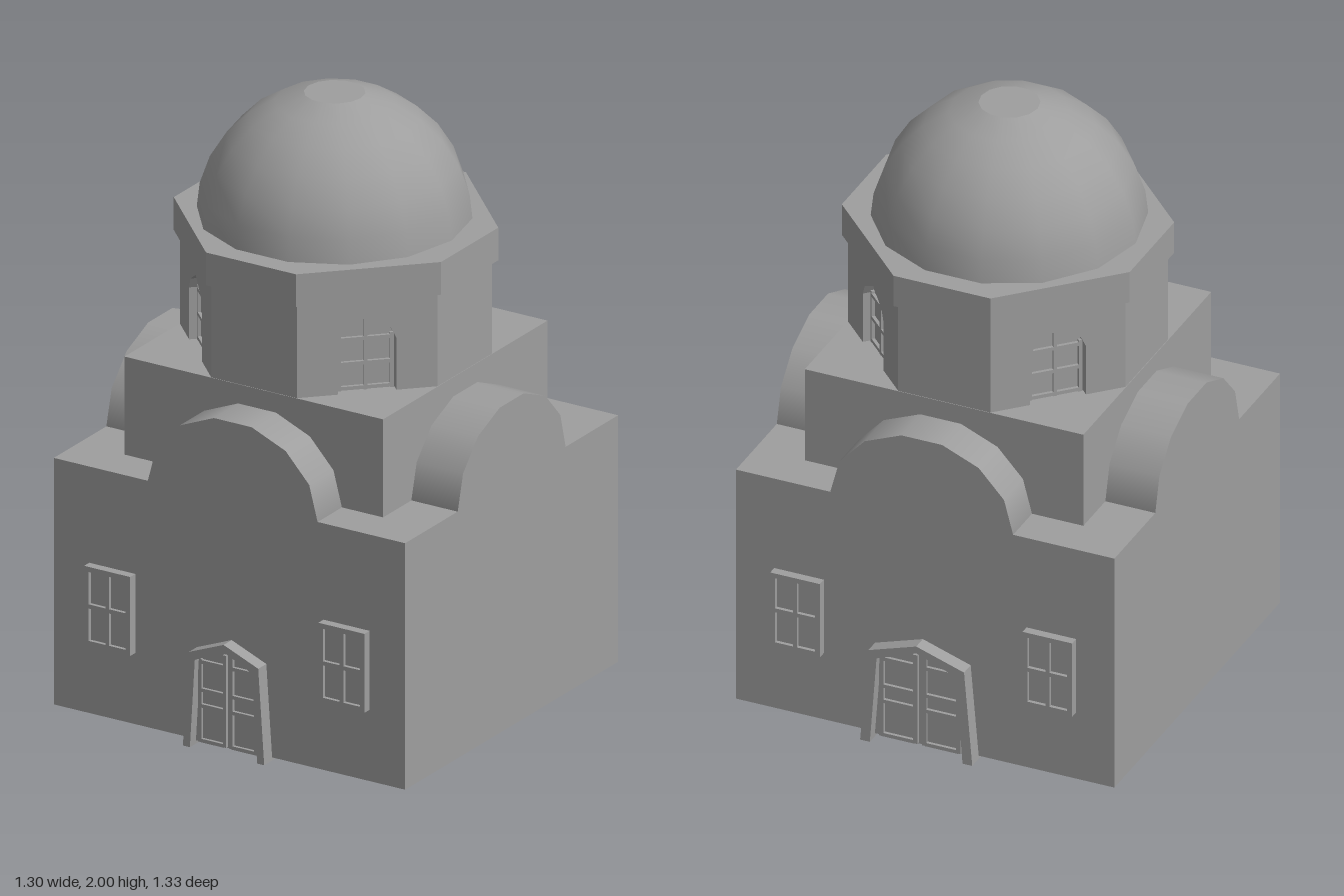
import * as THREE from 'three';

const stone = new THREE.MeshStandardMaterial({ color: 0x9e9e9e, side: THREE.DoubleSide });
stone.name = 'grey stone';

function add(parent, name, geometry, x = 0, y = 0, z = 0) {
  const mesh = new THREE.Mesh(geometry, stone);
  mesh.name = name;
  mesh.position.set(x, y, z);
  parent.add(mesh);
  return mesh;
}

function box(parent, name, w, h, d, x, y, z) {
  return add(parent, name, new THREE.BoxGeometry(w, h, d), x, y, z);
}

const toShape = pts => new THREE.Shape(pts.map(p => new THREE.Vector2(p[0], p[1])));
const extrude = (shape, depth) =>
  new THREE.ExtrudeGeometry(shape, { depth, bevelEnabled: false });

// Upright prism on an eight-sided plan: a = distance to the flats, b = half their width
function octagonPrism(a, b, height) {
  const plan = [[a, -b], [a, b], [b, a], [-b, a], [-a, b], [-a, -b], [-b, -a], [b, -a]];
  return extrude(toShape(plan), height).rotateX(-Math.PI / 2);
}

// Half-round roof along z, seven facets with smooth normals
function vault(length) {
  return new THREE.CylinderGeometry(1, 1, length, 7, 1, false, Math.PI / 2, Math.PI)
    .rotateX(Math.PI / 2).scale(0.313, 0.272, 1);
}

// Four-pane window, wall plane at z = 0
function makeWindow() {
  const g = new THREE.Group();
  g.name = 'wallWindow';
  const w = 0.085, h = 0.133;
  const frame = toShape([[-w, -h], [w, -h], [w, h], [-w, h]]);
  for (const sx of [-1, 1]) for (const sy of [-1, 1]) {
    const x0 = sx * 0.007, x1 = sx * 0.068, y0 = sy * 0.007, y1 = sy * 0.116;
    frame.holes.push(new THREE.Path([[x0, y0], [x0, y1], [x1, y1], [x1, y0]]
      .map(p => new THREE.Vector2(p[0], p[1]))));
  }
  add(g, 'windowFrame', extrude(frame, 0.012), 0, 0, 0.018);
  box(g, 'windowPanes', 2 * w, 2 * h, 0.028, 0, 0, 0.004);
  return g;
}

// Pointed double door with tapered frame, wall plane at z = 0
function makeDoor() {
  const g = new THREE.Group();
  g.name = 'door';
  const inner = [[-0.124, 0], [-0.106, 0.298], [0, 0.348], [0.106, 0.298], [0.124, 0]];
  const outer = [[0.15, 0], [0.128, 0.32], [0, 0.372], [-0.128, 0.32], [-0.15, 0]];
  add(g, 'doorFrame', extrude(toShape([...inner, ...outer]), 0.06), 0, 0, -0.013);
  add(g, 'doorLeaf', extrude(toShape(inner), 0.025), 0, 0.012, -0.012);
  for (const s of [-1, 1]) {
    box(g, 'doorStile', 0.012, 0.31, 0.012, s * 0.012, 0.17, 0.017);
    box(g, 'doorStile', 0.012, 0.28, 0.012, s * 0.103, 0.155, 0.017);
    for (const y of [0.02, 0.137, 0.19, 0.285]) {
      box(g, 'doorRail', 0.09, 0.012, 0.012, s * 0.058, y, 0.017);
    }
  }
  return g;
}

// Diagonal drum wall with a pointed window niche
function makeDrumWall(height) {
  const g = new THREE.Group();
  g.name = 'drumWall';
  const half = 0.2242, depth = 0.035;
  const niche = [[-0.093, 0], [-0.093, 0.175], [-0.075, 0.212], [0, 0.255],
    [0.075, 0.212], [0.093, 0.175], [0.093, 0]];
  const wall = [[-half, 0], ...niche, [half, 0], [half, height], [-half, height]];
  add(g, 'nicheWall', extrude(toShape(wall), depth), 0, 0, -depth);
  // glazing bars
  box(g, 'windowMullion', 0.012, 0.25, 0.012, 0, 0.125, -0.03);
  for (const s of [-1, 1]) box(g, 'windowSideBar', 0.012, 0.185, 0.012, s * 0.084, 0.0925, -0.03);
  for (const y of [0.008, 0.09, 0.172]) {
    box(g, 'windowRail', 0.18, 0.012, 0.012, 0, y, -0.03);
  }
  return g;
}

export function createModel() {
  const model = new THREE.Group();
  model.name = 'domedChapel';
  const X = 0.648, Z = 0.618;

  // Hollow main body, open underneath
  const bodyGeo = new THREE.BoxGeometry(2 * X, 0.83, 2 * Z);
  const faces = Array.from(bodyGeo.index.array);
  faces.splice(18, 6);
  bodyGeo.setIndex(faces);
  bodyGeo.clearGroups();
  add(model, 'body', bodyGeo, 0, 0.425, 0);

  // Crossing barrel vaults
  add(model, 'frontBackVault', vault(2 * Z), 0.012, 0.84, 0);
  add(model, 'sideVault', vault(2 * X).rotateY(Math.PI / 2), 0, 0.84, 0);

  // Square block under the drum
  box(model, 'upperBlock', 0.954, 0.33, 0.954, 0, 1.005, 0);

  // Drum: recessed core, straight faces, and diagonal walls with niches
  const A = 0.475, B = 0.158, base = 1.17, height = 0.32;
  add(model, 'drumCore', octagonPrism(A, 0.1085, height), 0, base, 0);
  box(model, 'drumFrontBack', 2 * B, height, 2 * A, 0, base + height / 2, 0);
  box(model, 'drumSides', 2 * A, height, 2 * B, 0, base + height / 2, 0);
  for (let i = 0; i < 4; i++) {
    const angle = Math.PI / 4 + i * Math.PI / 2;
    const wall = makeDrumWall(height);
    const r = (A + B) / Math.SQRT2;
    wall.position.set(Math.sin(angle) * r, base, Math.cos(angle) * r);
    wall.rotation.y = angle;
    model.add(wall);
  }
  add(model, 'cornice', octagonPrism(0.493, 0.166, 0.11), 0, 1.485, 0);

  // Dome with a small flat top
  const R = 0.434, step = Math.PI / 14, profile = [];
  for (let i = 0; i <= 6; i++) {
    profile.push(new THREE.Vector2(R * Math.cos(i * step), R * Math.sin(i * step)));
  }
  add(model, 'dome', new THREE.LatheGeometry(profile, 14, Math.PI / 2), -0.005, 1.577, 0);
  const cap = new THREE.CircleGeometry(profile[6].x, 14).rotateX(-Math.PI / 2);
  add(model, 'domeCap', cap, -0.005, 1.577 + profile[6].y, 0);

  // Doors and windows on the front and back
  for (const s of [1, -1]) {
    const side = new THREE.Group();
    side.name = s > 0 ? 'frontOpenings' : 'backOpenings';
    side.rotation.y = s > 0 ? 0 : Math.PI;
    for (const x of [-0.432, 0.432]) {
      const win = makeWindow();
      win.position.set(x, 0.383, Z);
      side.add(win);
    }
    const door = makeDoor();
    door.position.set(s * 0.008, 0, Z);
    if (s < 0) door.scale.set(1.28, 1.035, 1.06);
    side.add(door);
    model.add(side);
  }
  return model;
}
